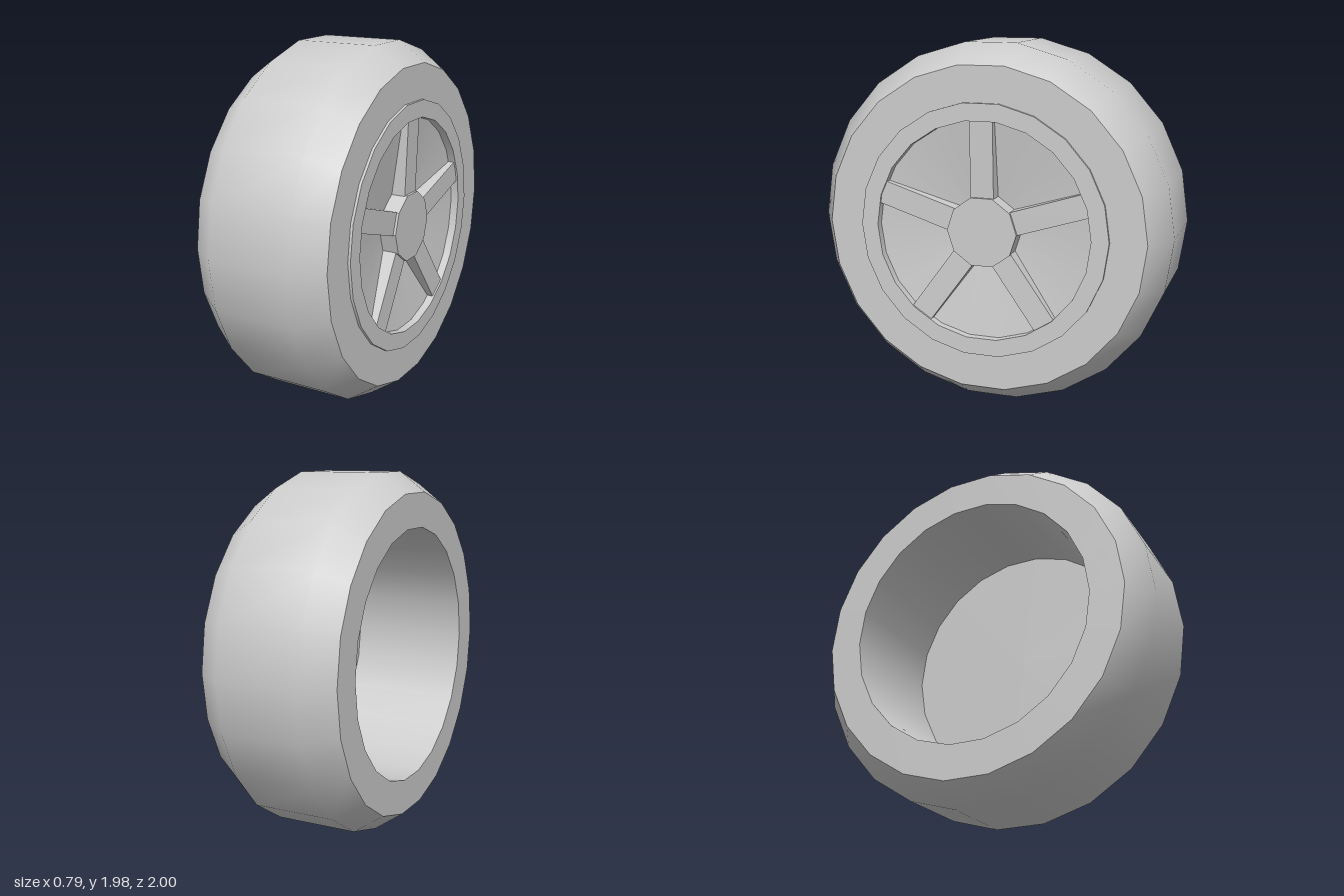
import * as THREE from 'three';
import { toCreasedNormals } from 'three/addons/utils/BufferGeometryUtils.js';

const SIDES = 22;

export function createModel() {
  const model = new THREE.Group();
  model.name = 'wheel';
  const grey = new THREE.MeshStandardMaterial({ color: 0xcccccc });
  grey.name = 'light grey';

  // The axle runs along x, raised so the flat bottom facet rests on the ground
  const wheel = new THREE.Group();
  wheel.name = 'wheelBody';
  wheel.position.y = Math.cos(Math.PI / SIDES);
  model.add(wheel);

  const add = (name, geometry) => {
    const mesh = new THREE.Mesh(geometry, grey);
    mesh.name = name;
    wheel.add(mesh);
    return mesh;
  };

  // Surface of revolution about x from [radius, x] pairs; smooth within one call
  const ring = (name, ...profile) => {
    const points = profile.map(([r, x]) => new THREE.Vector2(r, x));
    return add(name, new THREE.LatheGeometry(points, SIDES).rotateZ(-Math.PI / 2));
  };

  // Tyre: rounded tread, flat sidewalls and an open barrel at the back
  ring('tyreTread', [0.89, -0.395], [1, -0.24], [1, 0.22], [0.89, 0.38]);
  ring('tyreInnerSidewall', [0.7, -0.395], [0.89, -0.395]);
  ring('tyreOuterSidewall', [0.89, 0.38], [0.695, 0.38]);
  ring('barrel', [0.7, 0.28], [0.7, -0.395]);

  // Rim: raised lip around a shallow cone, closed by a flat back
  ring('rimBack', [0, 0.28], [0.7, 0.28]);
  ring('rimEdge', [0.695, 0.28], [0.695, 0.395]);
  ring('rimLip', [0.695, 0.395], [0.6, 0.395]);
  ring('rimInnerWall', [0.6, 0.395], [0.6, 0.35]);
  ring('rimDish', [0.6, 0.35], [0.15, 0.285]);

  // Ten-sided hub
  const hub = new THREE.CylinderGeometry(0.195, 0.195, 0.1, 10).rotateZ(-Math.PI / 2);
  add('hub', toCreasedNormals(hub, 0.5)).position.x = 0.335;

  // Five spokes, their faces rising slightly towards the lip
  for (let i = 0; i < 5; i++) {
    const geometry = new THREE.BoxGeometry(0.1, 0.43, 0.128);
    geometry.translate(0, 0.385, 0);
    const p = geometry.attributes.position;
    for (let v = 0; v < p.count; v++) {
      const outer = p.getY(v) > 0.4;
      p.setX(v, p.getX(v) > 0 ? (outer ? 0.385 : 0.37) : (outer ? 0.33 : 0.285));
    }
    geometry.computeVertexNormals();
    add('spoke' + (i + 1), geometry).rotation.x = (i * Math.PI * 2) / 5;
  }

  return model;
}
